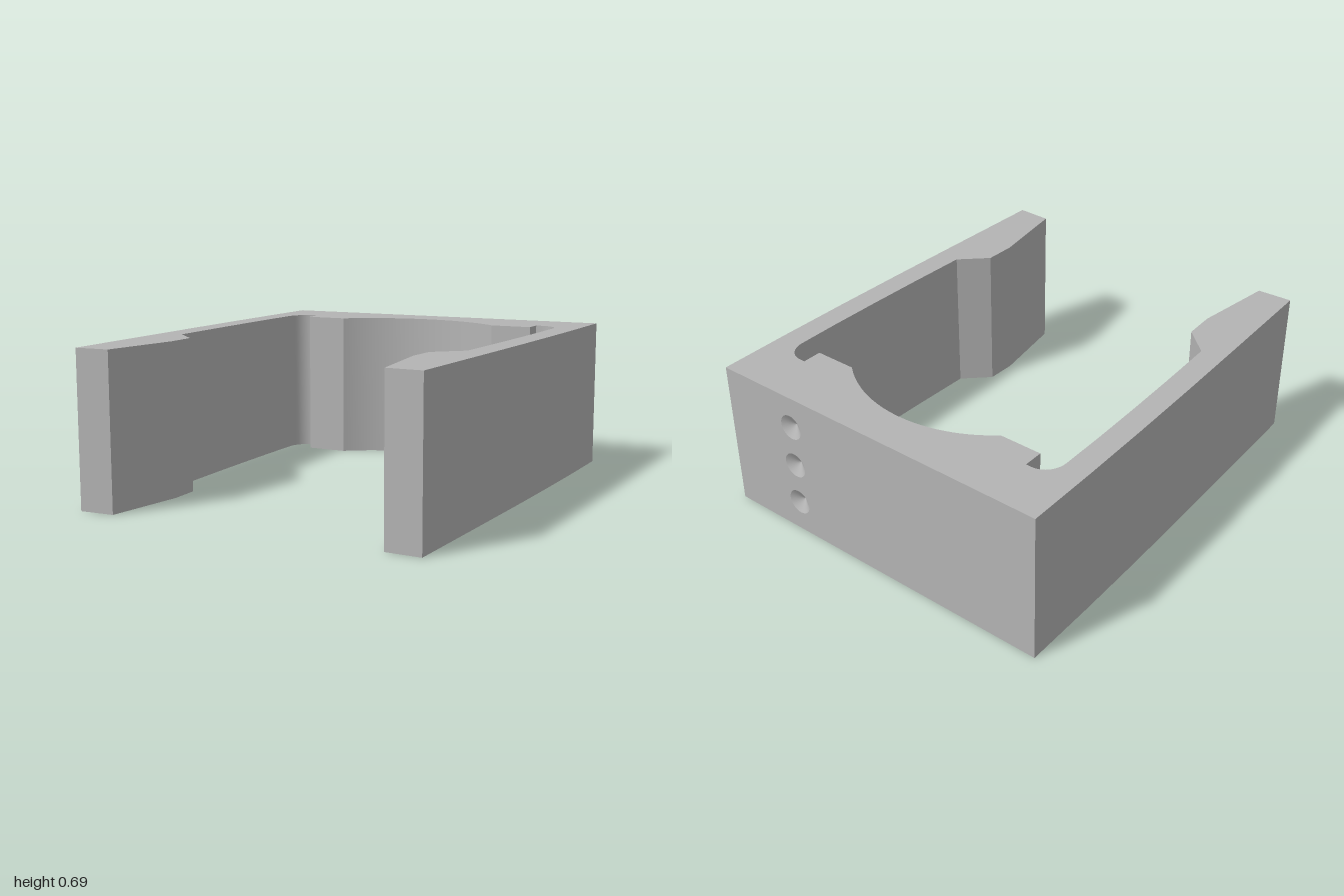
import * as THREE from 'three';
import { toCreasedNormals } from 'three/addons/utils/BufferGeometryUtils.js';

const HEIGHT = 0.695;
const HOLE_X = 0.455, HOLE_R = 0.058, HOLE_DEPTH = 0.035;
const HOLE_YS = [0.15, 0.347, 0.544];

// Right half of the plan as [x, z], from the middle of the bore round to the back corner
function halfPlan() {
  const pts = [];
  // shallow bore arc
  const R = 0.627, cz = -0.193, end = Math.asin(0.407 / R);
  for (let i = 0; i <= 16; i++) {
    const a = end * i / 16;
    pts.push([R * Math.sin(a), cz - R * Math.cos(a)]);
  }
  // pad beside the bore and relief notch
  pts.push([0.603, -0.67], [0.603, -0.76]);
  // rounded inner corner
  for (let i = 0; i <= 10; i++) {
    const a = Math.PI / 2 * i / 10;
    pts.push([0.63 + 0.09 * Math.sin(a), -0.66 - 0.1 * Math.cos(a)]);
  }
  // inside of the arm, clip bump, tip, gently bowed outside
  pts.push([0.72, -0.45], [0.716, -0.2], [0.709, 0.06], [0.698, 0.36],
    [0.577, 0.474], [0.572, 0.617], [0.628, 0.993], [0.788, 1],
    [0.806, 0.45], [0.818, 0.05], [0.826, -0.3], [0.831, -0.65], [0.832, -1]);
  return pts;
}

function buildBody() {
  const half = halfPlan();
  const mirrored = half.slice(1).reverse().map(([x, z]) => [-x, z]);
  const outline = [...half, ...mirrored].map(([x, z]) => new THREE.Vector2(x, -z));
  const geo = new THREE.ExtrudeGeometry(new THREE.Shape(outline), { depth: HEIGHT, bevelEnabled: false });
  geo.rotateX(-Math.PI / 2);
  // leave the back open: it is closed by the drilled back face
  const p = geo.attributes.position, kept = [];
  for (let i = 0; i < p.count; i += 3) {
    if ([0, 1, 2].every(k => p.getZ(i + k) < -0.9999)) continue;
    for (let k = 0; k < 3; k++) kept.push(p.getX(i + k), p.getY(i + k), p.getZ(i + k));
  }
  const open = new THREE.BufferGeometry();
  open.setAttribute('position', new THREE.Float32BufferAttribute(kept, 3));
  return toCreasedNormals(open, Math.PI / 7);
}

function buildBackFace() {
  const w = 0.832;
  const shape = new THREE.Shape([
    new THREE.Vector2(-w, 0), new THREE.Vector2(w, 0),
    new THREE.Vector2(w, HEIGHT), new THREE.Vector2(-w, HEIGHT)]);
  for (const y of HOLE_YS) {
    shape.holes.push(new THREE.Path().absarc(-HOLE_X, y, HOLE_R, 0, Math.PI * 2, true));
  }
  return new THREE.ShapeGeometry(shape, 16).rotateY(Math.PI).translate(0, 0, -1);
}

export function createModel() {
  const group = new THREE.Group();
  group.name = 'clipBracket';
  const grey = new THREE.MeshStandardMaterial({ color: 0xb4b4b4 });
  grey.name = 'grey';
  const add = (name, geo) => {
    const mesh = new THREE.Mesh(geo, grey);
    mesh.name = name;
    group.add(mesh);
    return mesh;
  };

  add('clipBody', buildBody());
  add('backFace', buildBackFace());

  // conical dimples sunk into the back
  const dimple = new THREE.LatheGeometry(
    [new THREE.Vector2(HOLE_R, 0), new THREE.Vector2(0, -HOLE_DEPTH)], 32).rotateX(-Math.PI / 2);
  HOLE_YS.forEach((y, i) => add(`dimple${i + 1}`, dimple).position.set(HOLE_X, y, -1));

  return group;
}
